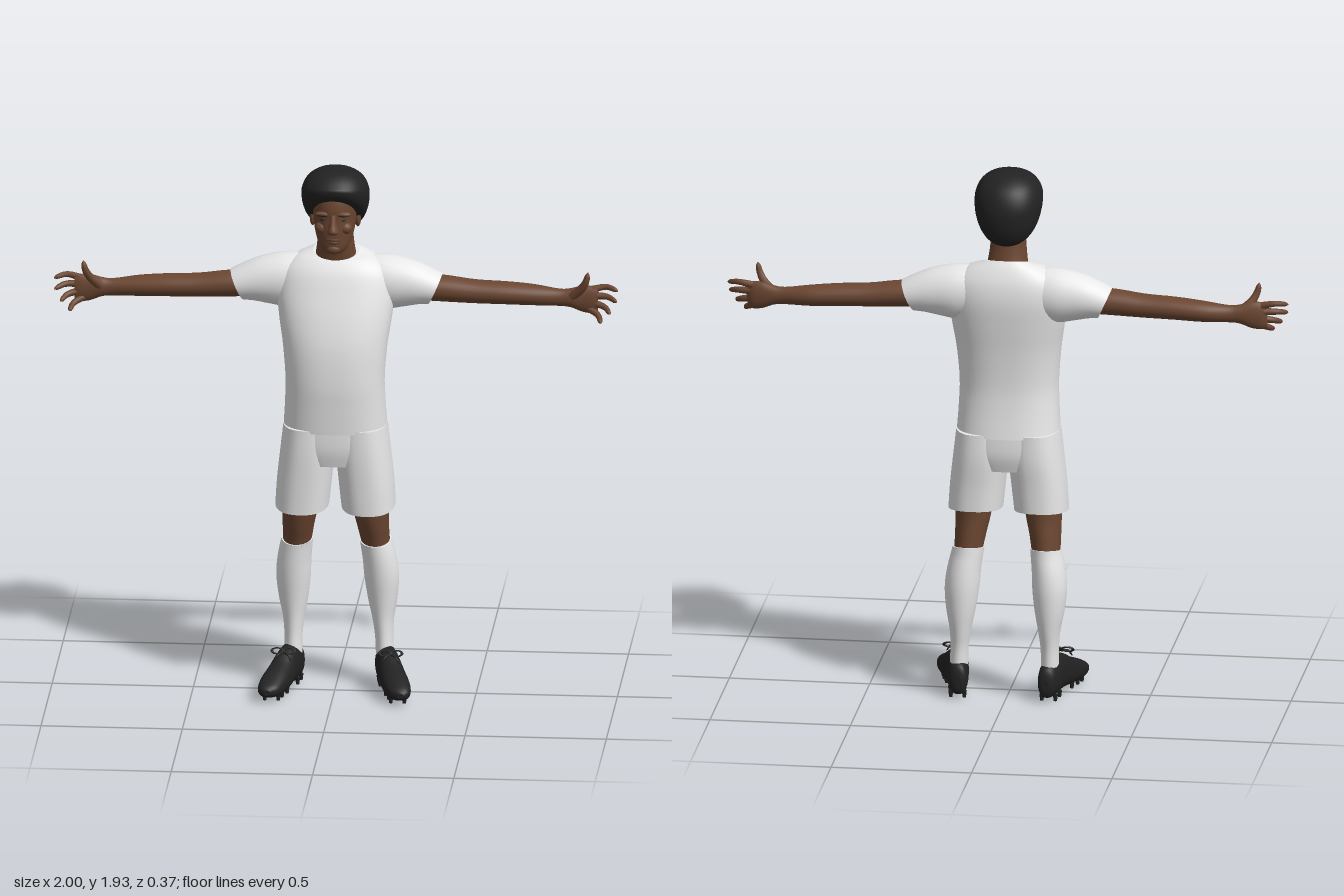
import * as THREE from 'three';

const mat = (name, color) => Object.assign(new THREE.MeshStandardMaterial({ color }), { name });

// Skin a stack of closed rings; flat caps get their own vertices so edges stay sharp
function loft(rings) {
  const n = rings[0].length, pos = [], idx = [];
  rings.forEach(r => r.forEach(p => pos.push(...p)));
  for (let i = 0; i < rings.length - 1; i++) for (let j = 0; j < n; j++) {
    const k = (j + 1) % n, a = i * n + j, b = i * n + k, c = b + n, d = a + n;
    idx.push(a, d, c, a, c, b);
  }
  [0, rings.length - 1].forEach(e => {
    const r = rings[e], base = pos.length / 3;
    r.forEach(p => pos.push(...p));
    pos.push(...[0, 1, 2].map(c => r.reduce((s, p) => s + p[c], 0) / n));
    for (let j = 0; j < n; j++) {
      const k = (j + 1) % n;
      if (e === 0) idx.push(base + n, base + j, base + k);
      else idx.push(base + n, base + k, base + j);
    }
  });
  const g = new THREE.BufferGeometry();
  g.setAttribute('position', new THREE.Float32BufferAttribute(pos, 3));
  g.setIndex(idx);
  g.computeVertexNormals();
  return g;
}

// Catmull-Rom interpolation of every column of a short key table
function smooth(keys, steps = 4) {
  const out = [], last = keys.length - 1;
  for (let i = 0; i < last; i++) for (let s = 0; s < steps; s++) {
    const t = s / steps, k = o => keys[Math.min(last, Math.max(0, i + o))];
    out.push(keys[i].map((_, c) => {
      const [p, q, r, w] = [k(-1)[c], k(0)[c], k(1)[c], k(2)[c]];
      return q + 0.5 * t * (r - p + t * (2 * p - 5 * q + 4 * r - w + t * (3 * (q - r) + w - p)));
    }));
  }
  out.push(keys[last]);
  return out;
}

// Unit superellipse points
const unit = (n, p) => Array.from({ length: n }, (_, i) => {
  const a = i / n * Math.PI * 2, c = Math.cos(a), s = Math.sin(a);
  return [Math.sign(c) * Math.abs(c) ** (2 / p), Math.sign(s) * Math.abs(s) ** (2 / p)];
});

// Upright form: keys are [y, centreX, halfWidth, zFront, zBack, tilt]
const upright = (keys, p = 2, n = 36) => loft(smooth(keys).map(([y, cx, rx, zf, zb, tilt = 0]) =>
  unit(n, p).map(([u, v]) => {
    const dz = v * (zf - zb) / 2;
    return [cx + u * rx, y + tilt * dz, (zf + zb) / 2 + dz];
  })));

// Sideways form: keys are [x, centreY, halfHeight, centreZ, halfDepth, slant]
const sideways = (keys, p = 2, n = 28) => loft(smooth(keys).map(([x, cy, ry, cz, rz, slant = 0]) =>
  unit(n, p).map(([u, v]) => [x + slant * v * ry, cy + v * ry, cz + u * rz])));

// Forward form: keys are [z, centreX, halfWidth, yTop, yBottom]
const forward = (keys, p = 2, n = 28) => loft(smooth(keys).map(([z, cx, rx, yt, yb]) =>
  unit(n, p).map(([u, v]) => [cx + v * rx, (yt + yb) / 2 + u * (yt - yb) / 2, z])));

// Tapered round-ended digit along a curve
function digit(points, r0, r1) {
  const curve = new THREE.CatmullRomCurve3(points.map(p => new THREE.Vector3(...p)));
  const n = 14, f = curve.computeFrenetFrames(n, false);
  return loft(Array.from({ length: n + 1 }, (_, i) => {
    const t = i / n, c = curve.getPointAt(t);
    const r = (r0 + (r1 - r0) * t) * Math.sqrt(Math.max(0.02, 1 - Math.max(0, (t - 0.8) / 0.2) ** 2));
    return unit(10, 2).map(([u, v]) => c.clone()
      .addScaledVector(f.binormals[i], u * r).addScaledVector(f.normals[i], v * r).toArray());
  }));
}

const ball = (x, y, z, sx, sy, sz) => new THREE.SphereGeometry(1, 20, 14).scale(sx, sy, sz).translate(x, y, z);

function mirror(g) {
  g.scale(-1, 1, 1);
  const a = g.index.array;
  for (let i = 0; i < a.length; i += 3) [a[i], a[i + 1]] = [a[i + 1], a[i]];
  g.computeVertexNormals();
  return g;
}

export function createModel() {
  const model = new THREE.Group();
  model.name = 'footballer';
  const skin = mat('brown skin', 0x6b4631), white = mat('white cloth', 0xe8e8e8);
  const black = mat('black', 0x222222), lip = mat('dark lips', 0x553528);
  const add = (name, geo, m) => {
    const mesh = new THREE.Mesh(geo, m);
    mesh.name = name;
    model.add(mesh);
  };

  // Shirt body and shorts waist
  add('shirtBody', upright([
    [0.975, 0, 0.183, 0.107, -0.175, 0], [1.07, 0, 0.177, 0.114, -0.162, 0],
    [1.16, 0, 0.175, 0.119, -0.156, 0], [1.28, 0, 0.185, 0.112, -0.163, 0],
    [1.38, 0, 0.2, 0.09, -0.175, 0], [1.47, 0, 0.208, 0.06, -0.184, 0],
    [1.54, 0, 0.195, 0.03, -0.178, 0.05], [1.585, 0, 0.145, 0.0, -0.16, 0.0],
    [1.607, 0, 0.082, -0.012, -0.137, -0.25]], 2.4, 48), white);
  add('shortsWaist', upright([
    [0.85, 0, 0.15, 0.085, -0.155], [0.91, 0, 0.182, 0.098, -0.17], [0.985, 0, 0.18, 0.1, -0.17]], 2.4, 48), white);

  // Neck, head and face
  add('neck', upright([
    [1.55, 0, 0.085, -0.01, -0.13], [1.6, 0, 0.072, 0.0, -0.117],
    [1.66, 0, 0.064, 0.015, -0.106], [1.74, 0, 0.06, 0.01, -0.1]]), skin);
  add('head', upright([
    [1.63, 0, 0.018, 0.06, 0.01], [1.637, 0, 0.036, 0.073, -0.02], [1.655, 0, 0.052, 0.079, -0.04],
    [1.685, 0, 0.064, 0.082, -0.07], [1.72, 0, 0.072, 0.084, -0.095], [1.76, 0, 0.077, 0.083, -0.11],
    [1.8, 0, 0.079, 0.085, -0.12], [1.85, 0, 0.076, 0.072, -0.12], [1.89, 0, 0.045, 0.03, -0.09]], 2.1), skin);
  add('nose', upright([
    [1.709, 0, 0.012, 0.092, 0.06], [1.717, 0, 0.021, 0.108, 0.06], [1.727, 0, 0.019, 0.112, 0.06],
    [1.75, 0, 0.013, 0.101, 0.06], [1.782, 0, 0.012, 0.088, 0.06]], 2, 20), skin);
  add('upperLip', ball(0, 1.691, 0.083, 0.026, 0.006, 0.011), lip);
  add('lowerLip', ball(0, 1.68, 0.081, 0.022, 0.006, 0.011), lip);
  add('chin', ball(0, 1.652, 0.066, 0.026, 0.018, 0.018), skin);
  for (const s of [-1, 1]) {
    add('browRidge', ball(s * 0.034, 1.782, 0.072, 0.03, 0.01, 0.013), skin);
    add('eyebrow', ball(s * 0.036, 1.779, 0.079, 0.021, 0.0045, 0.007), black);
    add('eye', ball(s * 0.034, 1.76, 0.07, 0.012, 0.0045, 0.006), black);
    add('cheek', ball(s * 0.042, 1.727, 0.055, 0.024, 0.022, 0.022), skin);
    add('ear', ball(s * 0.08, 1.74, -0.03, 0.011, 0.032, 0.02), skin);
  }

  // Rounded hair, high at the brow and low at the nape
  add('hair', upright([
    [1.75, 0, 0.079, 0.076, -0.105, 0.85], [1.765, 0, 0.104, 0.095, -0.132, 0.75],
    [1.8, 0, 0.118, 0.101, -0.16, 0.55], [1.845, 0, 0.119, 0.092, -0.168, 0.3],
    [1.888, 0, 0.1, 0.068, -0.145, 0.15], [1.915, 0, 0.065, 0.035, -0.1, 0.08],
    [1.927, 0, 0.02, -0.01, -0.05, 0]], 2.15, 40), black);

  for (const s of [1, -1]) {
    const side = s > 0 ? 'left' : 'right', d = s > 0 ? 0.02 : 0;
    const part = (name, g, m) => add(side + name, s > 0 ? g : mirror(g), m);
    const lean = keys => keys.map(([y, cx, ...r]) => [y, cx + d * Math.max(0, 0.6 - y) / 0.5, ...r]);

    // Sleeve and arm, widening into the palm
    part('Sleeve', sideways([
      [0.07, 1.495, 0.09, -0.08, 0.07, 0], [0.17, 1.492, 0.099, -0.083, 0.084, 0],
      [0.25, 1.489, 0.086, -0.082, 0.08, 0.1], [0.31, 1.479, 0.067, -0.081, 0.073, 0.3],
      [0.35, 1.469, 0.054, -0.08, 0.067, 0.45]]), white);
    part('Arm', sideways([
      [0.28, 1.475, 0.046, -0.077, 0.055], [0.38, 1.472, 0.047, -0.076, 0.053],
      [0.49, 1.463, 0.042, -0.077, 0.049], [0.6, 1.459, 0.04, -0.08, 0.049],
      [0.7, 1.453, 0.037, -0.084, 0.043], [0.79, 1.447, 0.031, -0.08, 0.025],
      [0.83, 1.447, 0.035, -0.078, 0.023], [0.87, 1.445, 0.048, -0.077, 0.021],
      [0.905, 1.443, 0.05, -0.074, 0.018], [0.925, 1.443, 0.044, -0.07, 0.011]]), skin);
    // Spread fingers curling forward, thumb raised
    [[[0.905, 1.48, -0.076], [0.955, 1.49, -0.078], [0.998, 1.482, -0.055]],
      [[0.91, 1.458, -0.075], [0.96, 1.457, -0.066], [0.995, 1.447, -0.035]],
      [[0.905, 1.432, -0.074], [0.95, 1.422, -0.056], [0.972, 1.407, -0.02]],
      [[0.895, 1.41, -0.072], [0.928, 1.393, -0.048], [0.94, 1.376, -0.008]]
    ].forEach(p => part('Finger', digit(p, 0.0135, 0.008), skin));
    part('Thumb', digit([[0.835, 1.455, -0.07], [0.87, 1.49, -0.052], [0.886, 1.52, -0.042], [0.893, 1.553, -0.04]],
      0.019, 0.009), skin);

    // Shorts leg, knee and sock
    part('ShortsLeg', upright([
      [0.685, 0.117, 0.095, 0.088, -0.16, -0.12], [0.78, 0.109, 0.097, 0.094, -0.164, -0.06],
      [0.89, 0.098, 0.096, 0.1, -0.172, 0], [0.985, 0.093, 0.09, 0.1, -0.17, 0]], 2.4), white);
    part('Knee', upright(lean([
      [0.48, 0.145, 0.05, -0.01, -0.135], [0.54, 0.137, 0.051, 0.003, -0.13],
      [0.6, 0.132, 0.056, 0.025, -0.125], [0.67, 0.125, 0.064, 0.045, -0.12],
      [0.76, 0.123, 0.07, 0.055, -0.125]])), skin);
    part('Sock', upright(lean([
      [0.1, 0.153, 0.033, -0.025, -0.125], [0.18, 0.152, 0.032, -0.03, -0.128],
      [0.25, 0.151, 0.039, -0.028, -0.14], [0.32, 0.152, 0.052, -0.02, -0.15],
      [0.4, 0.152, 0.061, -0.008, -0.155], [0.47, 0.148, 0.06, 0, -0.15],
      [0.545, 0.137, 0.056, 0.006, -0.136, -0.18]])), white);

    // Boot with studs and a lace bow, toes turned out
    part('Boot', forward([
      [-0.145, 0.145, 0.012, 0.085, 0.04], [-0.135, 0.147, 0.029, 0.12, 0.018],
      [-0.1, 0.153, 0.038, 0.14, 0.012], [-0.05, 0.161, 0.041, 0.155, 0.014],
      [0, 0.174, 0.043, 0.145, 0.016], [0.05, 0.189, 0.047, 0.118, 0.013],
      [0.1, 0.204, 0.049, 0.098, 0.012], [0.14, 0.215, 0.045, 0.08, 0.014],
      [0.17, 0.222, 0.034, 0.064, 0.02], [0.185, 0.226, 0.012, 0.05, 0.03]
    ].map(([z, cx, ...r]) => [z, cx + d, ...r]), 2.3), black);
    for (const [z, cx] of [[-0.11, 0.152], [-0.06, 0.16], [0.05, 0.189], [0.095, 0.203], [0.135, 0.213]])
      for (const o of [-0.024, 0.024])
        part('Stud', new THREE.CylinderGeometry(0.009, 0.006, 0.024, 10).translate(cx + d + o, 0.012, z), black);
    for (const o of [-1, 1]) {
      part('LaceLoop', new THREE.TorusGeometry(0.014, 0.0035, 8, 18).scale(1.4, 0.75, 1)
        .rotateX(-0.5).translate(0.18 + d + o * 0.021, 0.149, 0.028), black);
      part('LaceEnd', digit([[0.18 + d, 0.145, 0.026], [0.18 + d + o * 0.02, 0.138, 0.05],
        [0.182 + d + o * 0.032, 0.118, 0.055]], 0.004, 0.003), black);
    }
  }
  return model;
}
